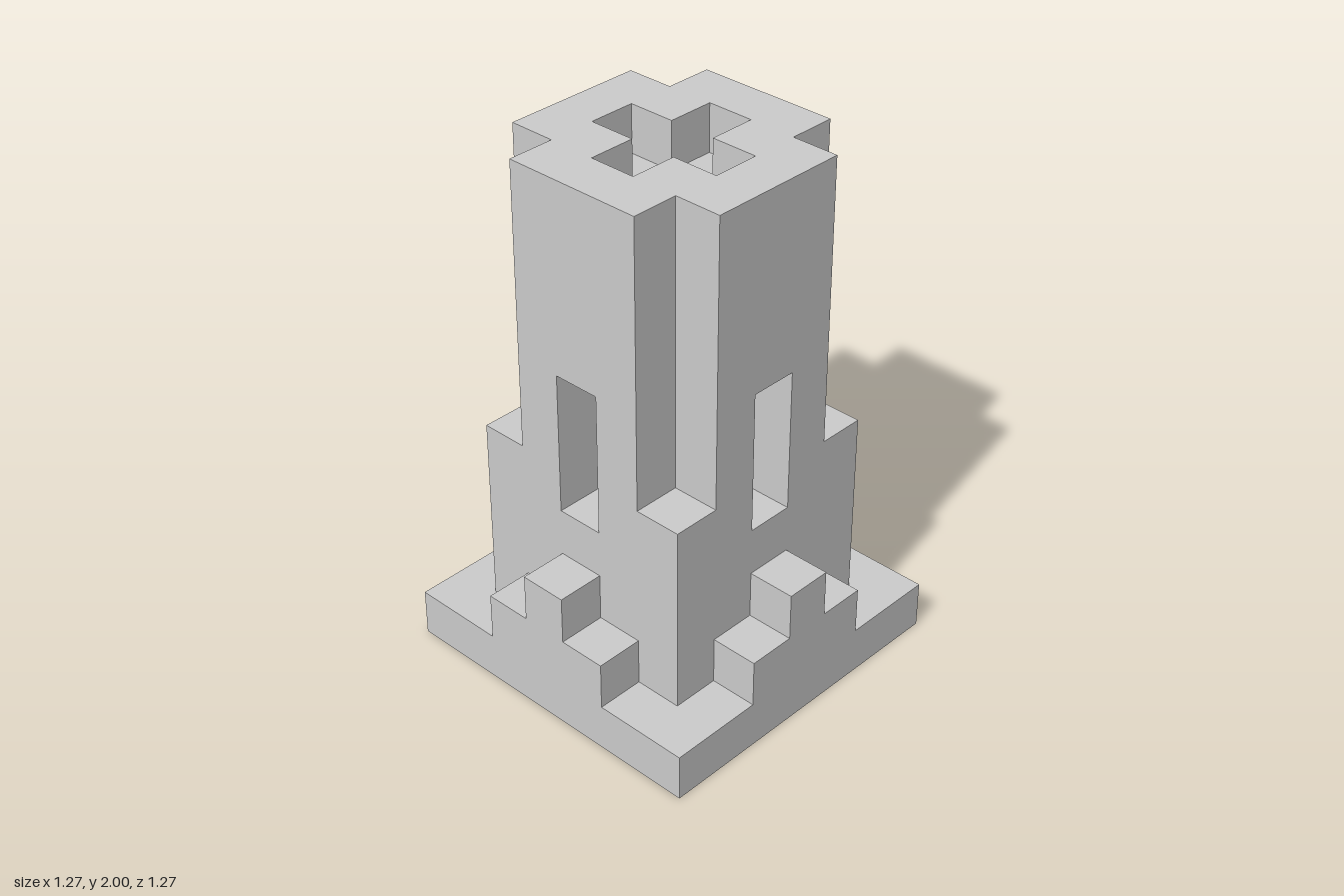
import * as THREE from 'three';

const U = 2 / 11; // one block
const material = new THREE.MeshStandardMaterial({ color: 0xcccccc, flatShading: true });

// Repeats one side's corner points around the four sides of a plan
function fourSided(side) {
  const points = [];
  for (let i = 0; i < 4; i++) {
    for (const [x, y] of side) {
      const [px, py] = [[x, y], [-y, x], [-x, -y], [y, -x]][i];
      points.push(new THREE.Vector2(px * U, py * U));
    }
  }
  return points;
}

// Extrudes a plan upwards from block level y0 to y1
function layer(name, side, y0, y1, holeSide) {
  const shape = new THREE.Shape(fourSided(side));
  if (holeSide) shape.holes.push(new THREE.Path(fourSided(holeSide)));
  const geometry = new THREE.ExtrudeGeometry(shape, { depth: (y1 - y0) * U, bevelEnabled: false });
  geometry.rotateX(-Math.PI / 2);
  const mesh = new THREE.Mesh(geometry, material);
  mesh.name = name;
  mesh.position.y = y0 * U;
  return mesh;
}

export function createModel() {
  const group = new THREE.Group();
  group.name = 'tower';

  // Plans, each given as the corners along one side (counter-clockwise)
  const square = (h) => [[h, -h]];
  const niche = [[2.5, -0.5], [1.5, -0.5], [1.5, 0.5], [2.5, 0.5]];
  const notched = [[1.5, -1.5], [2.5, -1.5], [2.5, 1.5]];
  const shaft = [[0.5, -0.5], [1.5, -0.5], [1.5, 0.5]];

  group.add(
    layer('base', square(3.5), 0, 1),
    layer('lowerBody', square(2.5), 1, 4),
    layer('lowerWindowBody', [[2.5, -2.5], ...niche], 4, 5),
    layer('upperWindowBody', [[1.5, -1.5], [2.5, -1.5], ...niche, [2.5, 1.5]], 5, 7),
    layer('upperBody', notched, 7, 10),
    layer('topRim', notched, 10, 11, shaft)
  );

  // Stepped buttress in the middle of each side
  const profile = new THREE.Shape(
    [[-1.5, 1], [1.5, 1], [1.5, 2], [0.5, 2], [0.5, 3], [-0.5, 3], [-0.5, 2], [-1.5, 2]]
      .map(([x, y]) => new THREE.Vector2(x * U, y * U))
  );
  const stepGeometry = new THREE.ExtrudeGeometry(profile, { depth: U, bevelEnabled: false });
  stepGeometry.translate(0, 0, 2.5 * U);
  for (let i = 0; i < 4; i++) {
    const steps = new THREE.Mesh(stepGeometry, material);
    steps.name = 'steppedButtress';
    steps.rotation.y = (i * Math.PI) / 2;
    group.add(steps);
  }
  return group;
}
